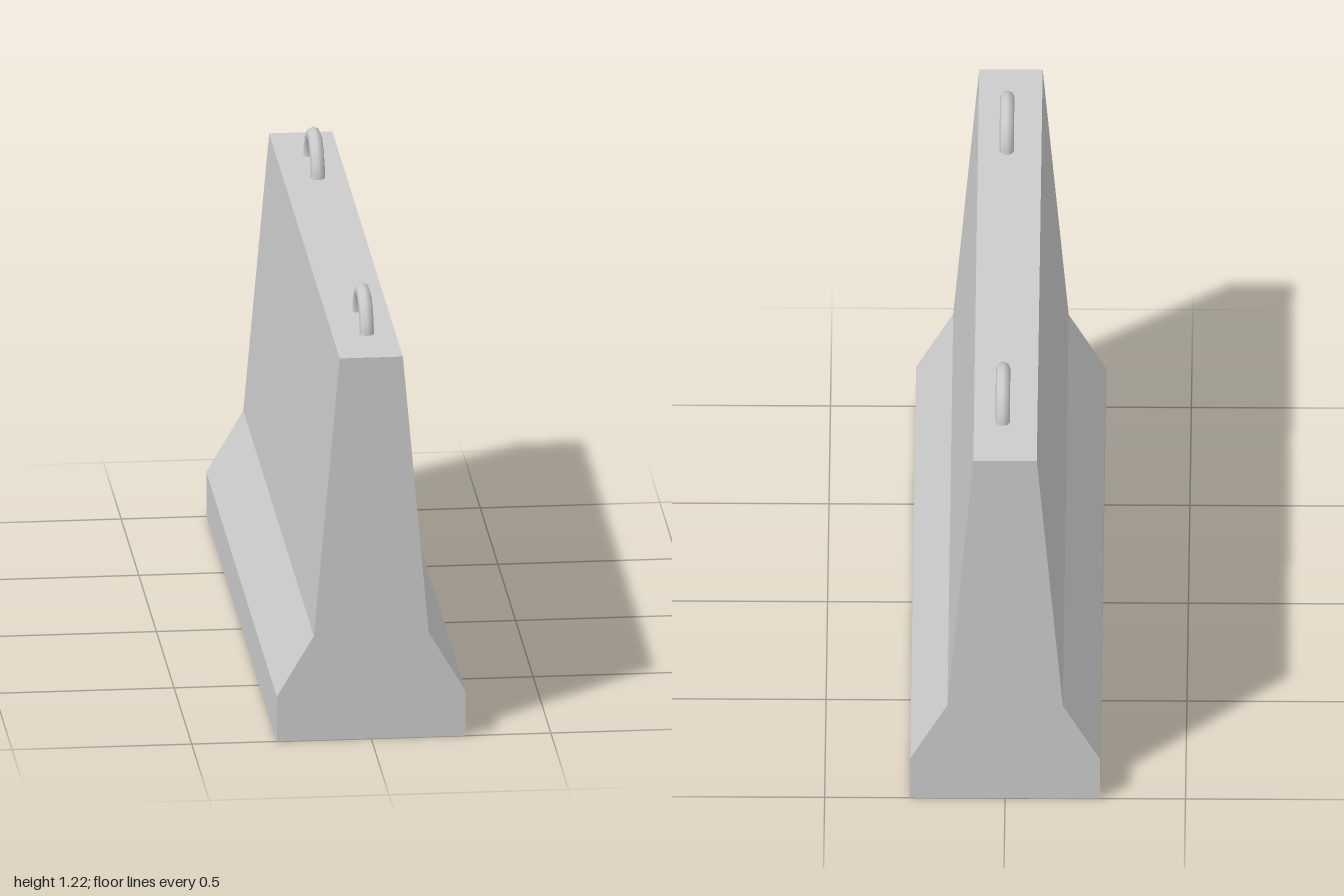
import * as THREE from 'three';

export function createModel() {
  const group = new THREE.Group();
  const material = new THREE.MeshStandardMaterial({ color: 0xcccccc });

  // Concrete barrier: mirrored half profile extruded along z
  const half = [[0.263, 0], [0.263, 0.13], [0.16, 0.305], [0.088, 1.112]];
  const mirrored = half.map(([x, y]) => [-x, y]).reverse();
  const profile = new THREE.Shape([...half, ...mirrored].map(([x, y]) => new THREE.Vector2(x, y)));
  const bodyGeometry = new THREE.ExtrudeGeometry(profile, { depth: 2, bevelEnabled: false });
  bodyGeometry.translate(0, 0, -1);
  const body = new THREE.Mesh(bodyGeometry, material);
  body.name = 'barrierBody';
  group.add(body);

  // Lifting loops: half rings whose ends sink into the top
  const loopGeometry = new THREE.TorusGeometry(0.107, 0.02, 8, 7, Math.PI);
  loopGeometry.rotateY(Math.PI / 2);
  for (const [name, z] of [['frontLiftingLoop', 0.687], ['backLiftingLoop', -0.698]]) {
    const loop = new THREE.Mesh(loopGeometry, material);
    loop.name = name;
    loop.position.set(0.008, 1.095, z);
    group.add(loop);
  }

  return group;
}
